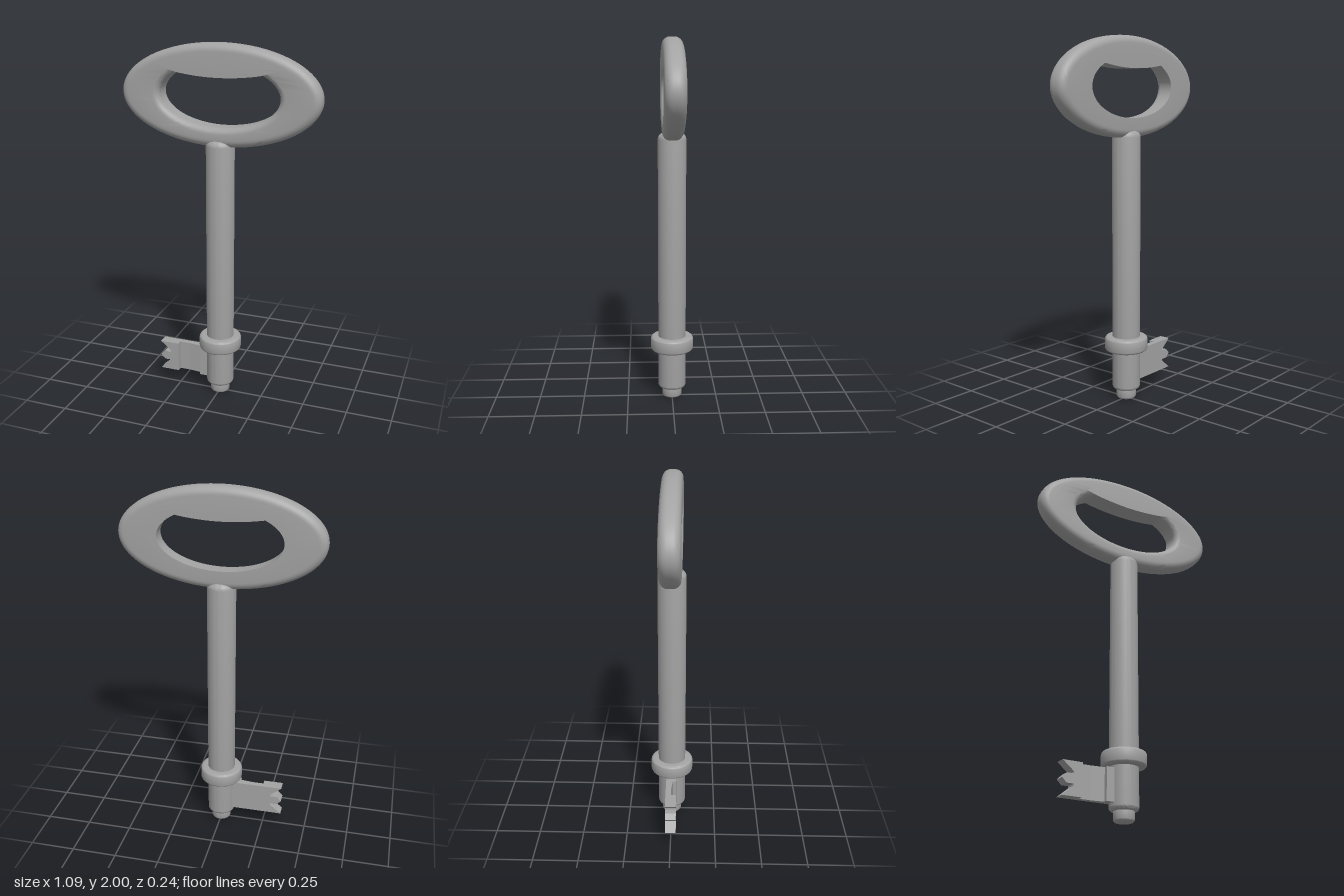
import * as THREE from 'three';
import { toCreasedNormals } from 'three/addons/utils/BufferGeometryUtils.js';

const material = new THREE.MeshStandardMaterial({ color: 0xa3a3a3 });

function mesh(name, geometry) {
  const m = new THREE.Mesh(geometry, material);
  m.name = name;
  return m;
}

// Solid of revolution with both rims rounded
function turned(name, radius, y0, y1, low, high = low) {
  const points = [new THREE.Vector2(0, y0)];
  const steps = 6;
  for (const [r, cy, start] of [[low, y0 + low, -Math.PI / 2], [high, y1 - high, 0]]) {
    for (let i = 0; i <= steps; i++) {
      const a = start + (i / steps) * Math.PI / 2;
      points.push(new THREE.Vector2(radius - r + r * Math.cos(a), cy + r * Math.sin(a)));
    }
  }
  points.push(new THREE.Vector2(0, y1));
  return mesh(name, toCreasedNormals(new THREE.LatheGeometry(points, 48), 0.6));
}

// Oval handle: a cross-section swept round the ellipse, its hole cut flat at the top
function bowGeometry() {
  const A = 0.545, B = 0.269, a = 0.33, b = 0.164, cy = 1.731;
  const half = 0.054, round = 0.042, innerRound = 0.035, steps = 6;
  const cornerX = 0.23, corner = Math.acos(cornerX / a);

  // Unit inward normal of an ellipse
  const inward = (p, q, t) => new THREE.Vector2(-q * Math.cos(t), -p * Math.sin(t)).normalize();

  function section(t, onChord) {
    const pts = [];
    const c = Math.cos(t), s = Math.sin(t);
    const n = inward(A, B, t);
    for (const [zc, start] of [[-half + round, -Math.PI / 2], [half - round, 0]]) {
      for (let i = 0; i <= steps; i++) {
        const f = start + (i / steps) * Math.PI / 2;
        const d = round * (1 - Math.cos(f));
        pts.push([A * c + n.x * d, cy + B * s + n.y * d, zc + round * Math.sin(f)]);
      }
    }
    // Front edge of the hole is rounded except along the chord
    const r = onChord ? 0 : innerRound;
    const m = inward(a, b, t);
    const x = a * c;
    const y = onChord ? 1.828 + 0.02 * (x / cornerX) ** 2 : cy + b * s;
    for (let i = 0; i <= steps; i++) {
      const f = (1 - i / steps) * Math.PI / 2;
      const d = r * (1 - Math.cos(f));
      pts.push([x - m.x * d, y - m.y * d, half - r + r * Math.sin(f)]);
    }
    pts.push([x, y, -half]);
    return pts;
  }

  const rings = [];
  const arc = (from, to, count, onChord) => {
    for (let i = 0; i <= count; i++) rings.push(section(from + (to - from) * i / count, onChord));
  };
  arc(corner, Math.PI - corner, 28, true);
  arc(Math.PI - corner, 2 * Math.PI + corner, 84, false);

  const k = rings[0].length, index = [];
  for (let i = 0; i < rings.length; i++) {
    const i2 = (i + 1) % rings.length;
    for (let j = 0; j < k; j++) {
      const j2 = (j + 1) % k;
      index.push(i * k + j, i2 * k + j, i2 * k + j2, i * k + j, i2 * k + j2, i * k + j2);
    }
  }
  const g = new THREE.BufferGeometry();
  g.setAttribute('position', new THREE.Float32BufferAttribute(rings.flat(2), 3));
  g.setIndex(index);
  return toCreasedNormals(g, 0.6);
}

const shape = (pts) => new THREE.Shape(pts.map(([x, y]) => new THREE.Vector2(x, y)));

// Bit: a toothed end plus a plate with a wide recess in its front
function createBit() {
  const bit = new THREE.Group();
  bit.name = 'bit';
  const y0 = 0.09, y1 = 0.265, half = 0.03;

  const teeth = new THREE.ExtrudeGeometry(shape([
    [-0.25, y0], [-0.25, y1], [-0.36, y1], [-0.297, 0.213], [-0.297, 0.203], [-0.335, 0.203],
    [-0.36, 0.177], [-0.335, 0.152], [-0.297, 0.152], [-0.297, 0.142], [-0.36, y0],
  ]), { depth: 2 * half, bevelEnabled: false });
  teeth.translate(0, 0, -half);

  // Plan outline in x and z, extruded downwards
  const plate = new THREE.ExtrudeGeometry(shape([
    [-0.25, -half], [0, -half], [0, half], [-0.115, half],
    [-0.115, 0.008], [-0.19, 0], [-0.25, 0],
  ]), { depth: y1 - y0, bevelEnabled: false });
  plate.rotateX(Math.PI / 2).translate(0, y1, 0);

  bit.add(mesh('bitTeeth', teeth), mesh('bitPlate', plate));
  return bit;
}

export function createModel() {
  const key = new THREE.Group();
  key.name = 'key';
  key.add(
    mesh('bow', bowGeometry()),
    turned('shaft', 0.077, 0.055, 1.5, 0.02, 0.035),
    turned('collar', 0.119, 0.278, 0.36, 0.018),
    turned('tip', 0.055, 0, 0.08, 0.018),
    createBit(),
  );
  return key;
}
